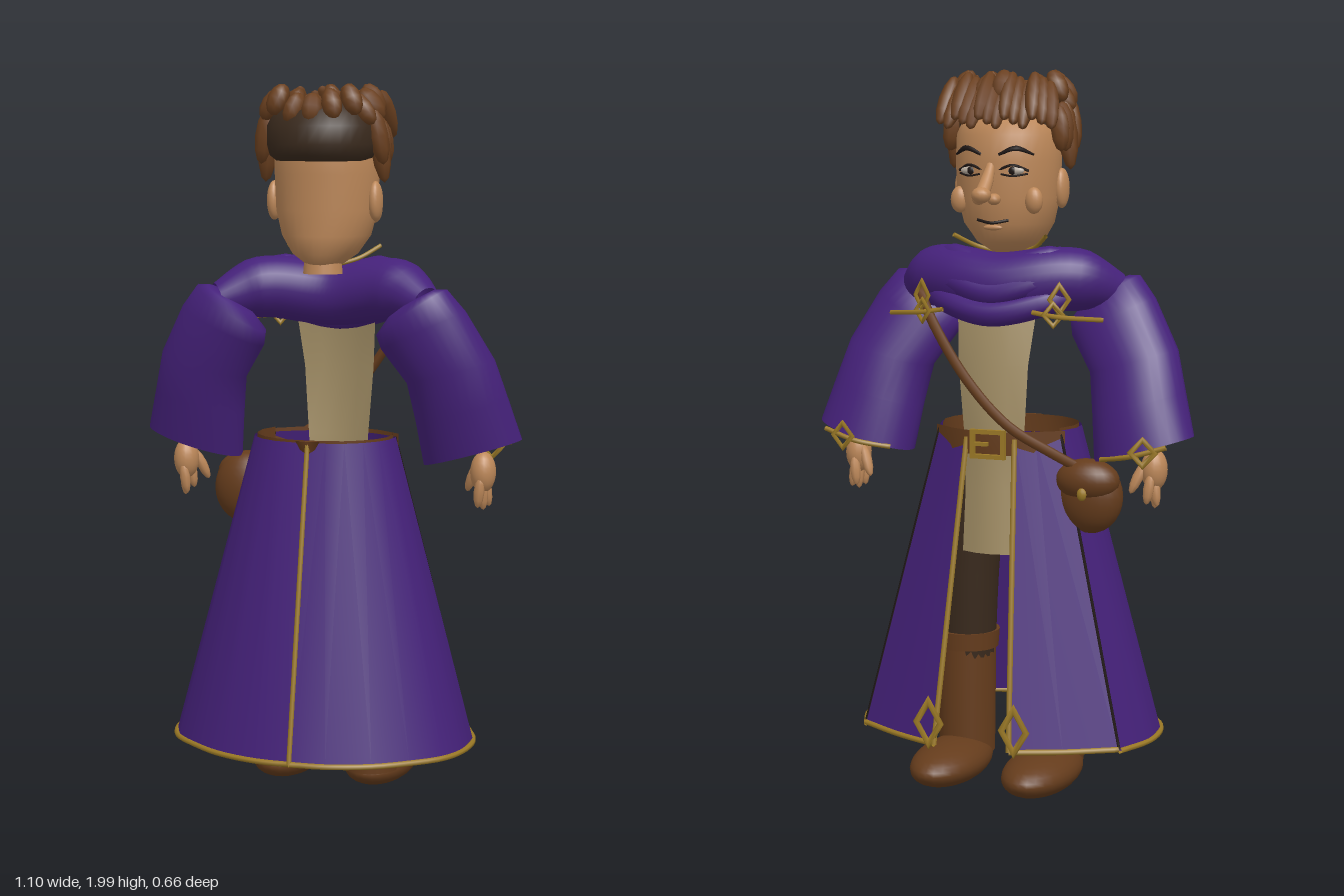
import * as THREE from 'three';

const mat = (name, color, side = THREE.DoubleSide) => {
  const m = new THREE.MeshStandardMaterial({ color, side });
  m.name = name;
  return m;
};
const V = (p) => new THREE.Vector3(...p);

export function createModel() {
  const root = new THREE.Group();
  root.name = 'robedFigure';
  const purple = mat('purpleCloth', 0x45217a);
  const gold = mat('goldTrim', 0x9c7a26);
  const skin = mat('skin', 0xbd8859);
  const leather = mat('brownLeather', 0x653c1c);
  const hairBrown = mat('brownHair', 0x6b401f);
  const dark = mat('darkBrown', 0x3a2a1d);
  const tan = mat('tanLinen', 0xa38f66);
  const white = mat('eyeWhite', 0xb8ada0);
  const black = mat('darkLine', 0x1f1715);

  const add = (name, geo, m) => {
    const mesh = new THREE.Mesh(geo, m);
    mesh.name = name;
    root.add(mesh);
    return mesh;
  };
  const ball = (name, c, r, m, n = 20) => {
    const mesh = add(name, new THREE.SphereGeometry(1, n, Math.max(6, n * 0.6 | 0)), m);
    mesh.position.set(...c);
    mesh.scale.set(...r);
    return mesh;
  };
  // pointed ellipsoid stretched between two points
  const lock = (name, a, b, r, m) => {
    const A = V(a), B = V(b), d = B.clone().sub(A);
    const mesh = ball(name, A.clone().add(B).multiplyScalar(0.5).toArray(), [r, d.length() / 2, r], m, 8);
    mesh.quaternion.setFromUnitVectors(new THREE.Vector3(0, 1, 0), d.normalize());
  };
  // tube whose radius follows a list of values along the path
  const tube = (name, pts, radii, m, n = 20, steps = 28) => {
    const curve = new THREE.CatmullRomCurve3(pts.map(V));
    const f = curve.computeFrenetFrames(steps);
    const pos = [], idx = [];
    for (let i = 0; i <= steps; i++) {
      const t = i / steps, u = t * (radii.length - 1), k = Math.min(Math.floor(u), radii.length - 2);
      const r = THREE.MathUtils.lerp(radii[k], radii[k + 1], u - k);
      const c = curve.getPointAt(t);
      for (let j = 0; j < n; j++) {
        const a = j / n * Math.PI * 2;
        const p = c.clone().addScaledVector(f.normals[i], r * Math.cos(a)).addScaledVector(f.binormals[i], r * Math.sin(a));
        pos.push(p.x, p.y, p.z);
        if (i < steps) {
          const a0 = i * n + j, a1 = i * n + (j + 1) % n;
          idx.push(a0, a1, a0 + n, a1, a1 + n, a0 + n);
        }
      }
    }
    const g = new THREE.BufferGeometry();
    g.setAttribute('position', new THREE.Float32BufferAttribute(pos, 3));
    g.setIndex(idx);
    g.computeVertexNormals();
    add(name, g, m);
  };
  const cord = (name, pts, r, m) => tube(name, pts, [r, r], m, 6, 24);
  // sheet through rows of points
  const sheet = (name, rows, m) => {
    const n = rows[0].length, idx = [];
    for (let i = 0; i < rows.length - 1; i++) for (let j = 0; j < n - 1; j++) {
      const a = i * n + j;
      idx.push(a, a + n, a + 1, a + 1, a + n, a + n + 1);
    }
    const g = new THREE.BufferGeometry();
    g.setAttribute('position', new THREE.Float32BufferAttribute(rows.flat(2), 3));
    g.setIndex(idx);
    g.computeVertexNormals();
    add(name, g, m);
  };
  // stacked ellipses: centre x, y, z, half width, half depth, rise of the outer side
  const stack = (name, rings, m, s = 1) => sheet(name, rings.map(([x, y, z, w, d, rise = 0]) =>
    Array.from({ length: 33 }, (_, j) => {
      const c = Math.cos(j / 16 * Math.PI);
      return [s * (x + w * c), y + rise * c, z + d * Math.sin(j / 16 * Math.PI)];
    })), m);
  const diamond = (name, c, sx, sy, ry = 0) => {
    const mesh = add(name, new THREE.TorusGeometry(1, 0.28, 6, 4), gold);
    mesh.position.set(...c);
    mesh.scale.set(sx, sy, 0.02);
    mesh.rotation.y = ry;
  };

  // skirt sections as [x, z], waist and hem, for one side
  const backTop = [[0, .155], [.05, .153], [.1, .14], [.145, .11], [.178, .07], [.195, .03], [.2, -.03], [.18, -.095]];
  const backHem = [[0, .328], [.1, .322], [.22, .282], [.31, .22], [.385, .15], [.42, .07], [.425, -.05], [.38, -.172]];
  const frontTop = [[.18, -.1], [.12, -.14], [.07, -.165]];
  const frontHem = [[.378, -.178], [.245, -.255], [.11, -.312]];
  const at = (list, y, s) => list.map(([x, z]) => [x * s, y, z]);

  for (const s of [1, -1]) {
    const side = s > 0 ? 'left' : 'right';
    // coat skirt: back and front panels with trims
    sheet(side + 'BackSkirt', [at(backTop, 1.02, s), at(backHem, .16, s)], purple);
    sheet(side + 'FrontSkirt', [at(frontTop, 1.01, s), at(frontHem, .165, s)], purple);
    cord(side + 'SideSeam', [[s * .179, 1.01, -.098], [s * .378, .165, -.175]], .005, black);
    cord(side + 'BackHemTrim', at(backHem, .16, s), .008, gold);
    cord(side + 'FrontHemTrim', at(frontHem, .165, s), .008, gold);
    cord(side + 'OpeningTrim', [[s * .07, 1, -.167], [s * .11, .165, -.314]], .008, gold);
    diamond(side + 'HemOrnament', [s * .125, .225, -.315], .036, .06);

    // wide sleeve, cuff trim and clasps
    stack(side + 'Sleeve', [[.41, .98, -.075, .138, .1, .04], [.385, 1.1, -.045, .129, .104, .035], [.36, 1.21, -.014, .122, .1, .035],
      [.29, 1.325, .02, .117, .088, .055], [.26, 1.375, .035, .098, .076, .065], [.262, 1.4, .04, .065, .05, .04], [.265, 1.41, .042, .005, .005]], purple, s);
    cord(side + 'CuffTrim', [[s * .31, .955, -.145], [s * .4, .972, -.178], [s * .5, 1, -.165]], .007, gold);
    diamond(side + 'CuffOrnament', [s * .44, .985, -.18], .033, .035, s * -.2);
    cord(side + 'ClaspBar', [[s * .13, 1.35, -.19], [s * .2, 1.34, -.19], [s * .31, 1.33, -.13]], .007, gold);
    diamond(side + 'UpperClasp', [s * .2, 1.385, -.17], .026, .038, s * -.4);
    diamond(side + 'LowerClasp', [s * .19, 1.345, -.19], .026, .03, s * -.4);

    // hand and fingers
    ball(side + 'Palm', [s * .44, .925, -.075], [.036, .058, .04], skin);
    for (let i = 0; i < 4; i++) {
      const z = -.045 - i * .02;
      lock(side + 'Finger', [s * .44, .92, z], [s * (.43 + .012 * (i % 3)), .818 + .008 * Math.abs(i - 1), z - .008], .015, skin);
    }
    lock(side + 'Thumb', [s * .42, .95, -.09], [s * .385, .862, -.115], .015, skin);

    // trouser leg, boot shaft, cuff and foot
    tube(side + 'TrouserLeg', [[s * .13, .36, -.015], [s * .115, .6, -.03], [s * .09, .88, -.04]], [.078, .08, .085], dark);
    const shaft = add(side + 'BootShaft', new THREE.CylinderGeometry(.084, .08, .33, 24), leather);
    shaft.position.set(s * .135, .235, -.012);
    const cuff = add(side + 'BootCuff', new THREE.CylinderGeometry(.094, .09, .05, 24), leather);
    cuff.position.set(s * .135, .4, -.012);
    ball(side + 'Foot', [s * .137, .066, -.122], [.1, .06, .19], leather, 28);

    // ear, cheek, eye, brow
    ball(side + 'Ear', [s * .146, 1.675, -.005], [.02, .055, .032], skin);
    ball(side + 'Cheek', [s * .108, 1.645, -.12], [.025, .036, .022], skin);
    ball(side + 'Eye', [s * .062, 1.725, -.15], [.03, .012, .011], white);
    ball(side + 'Pupil', [s * .06, 1.725, -.157], [.011, .011, .006], black, 12);
    cord(side + 'EyeLid', [[s * .025, 1.728, -.163], [s * .062, 1.74, -.161], [s * .1, 1.725, -.138]], .004, black);
    cord(side + 'LowerLid', [[s * .03, 1.716, -.163], [s * .062, 1.711, -.161], [s * .098, 1.717, -.138]], .003, black);
    tube(side + 'Brow', [[s * .025, 1.768, -.167], [s * .07, 1.785, -.16], [s * .112, 1.768, -.13]], [.004, .008, .003], black, 6, 10);
    ball(side + 'Nostril', [s * .022, 1.65, -.193], [.018, .016, .022], skin, 12);

    // collar edge
    cord(side + 'CollarTrim', [[s * .135, 1.548, -.1], [s * .085, 1.515, -.05], [s * .02, 1.495, -.02]], .006, gold);

    // side locks
    for (let i = 0; i < 4; i++) {
      const z = .035 - i * .026;
      lock(side + 'SideLock', [s * .15, 1.93 - i * .01, z], [s * (.176 - .004 * i), i === 1 ? 1.725 : 1.775, z - .015], .027, hairBrown);
    }
  }
  // back seam
  cord('backSeam', [[0, 1.02, .158], [0, .16, .331]], .007, gold);

  // tunic front, bowed across
  const tunicRow = ([y, w, z]) => [-1, -.5, 0, .5, 1].map((t) => [t * w, y, z + .025 * t * t]);
  sheet('tunic', [[1.38, .118, -.135], [1.2, .102, -.172], [1.0, .088, -.165], [.85, .082, -.172], [.68, .085, -.185]].map(tunicRow), tan);

  // belt and buckle
  const waist = [[-.19, -.095], [-.12, -.15], [-.05, -.18], [.05, -.18], [.12, -.15], [.19, -.095]];
  sheet('frontBelt', [at(waist, 1.02, 1), at(waist, .955, 1)], leather);
  const inner = backTop.map(([x, z]) => [x * .96, z * .95]);
  const loop = [...inner.slice(1).reverse().map(([x, z]) => [-x, z]), ...inner];
  sheet('backBelt', [at(loop, 1.026, 1), at(loop, .975, 1)], leather);
  const tab = add('beltTab', new THREE.ConeGeometry(.035, .06, 4), leather);
  tab.position.set(0, .995, .158);
  tab.scale.z = .25;
  tab.rotation.x = Math.PI;
  for (const [w, h, x, y] of [[.1, .012, 0, .034], [.1, .012, 0, -.034], [.012, .08, -.045, 0], [.012, .08, .045, 0], [.04, .01, .02, 0]])
    add('buckle', new THREE.BoxGeometry(w, h, .014), gold).position.set(x, .985 + y, -.187);

  // draped yoke and front folds
  tube('yoke', [[-.3, 1.395, .03], [-.19, 1.43, -.045], [0, 1.412, -.09], [.19, 1.43, -.045], [.3, 1.395, .03]], [.05, .086, .09, .09, .09, .086, .05], purple, 24, 32);
  for (const [y, z, r] of [[1.455, -.115, .036], [1.4, -.15, .038], [1.345, -.16, .036]])
    tube('yokeFold', [[-.25, 1.41, -.02], [-.16, y + .03, z + .045], [0, y - .005, z], [.16, y + .03, z + .045], [.25, 1.41, -.02]], [.015, r, r, r, .015], purple, 14);

  // satchel and strap
  ball('satchel', [-.265, .845, -.095], [.092, .103, .06], leather, 24);
  ball('satchelFlap', [-.262, .89, -.11], [.09, .06, .06], leather, 24);
  ball('satchelClasp', [-.265, .86, -.168], [.014, .018, .01], gold, 10);
  cord('satchelStrap', [[.22, 1.4, -.14], [.17, 1.32, -.175], [.06, 1.16, -.19], [-.06, 1.04, -.192], [-.17, .97, -.16], [-.25, .92, -.12]], .014, leather);

  // head and neck
  stack('head', [[0, 1.492, 0, .005, .01], [0, 1.497, -.005, .045, .065], [0, 1.53, -.014, .09, .112], [0, 1.58, -.024, .124, .127], [0, 1.65, -.028, .142, .136],
    [0, 1.75, -.028, .146, .142], [0, 1.82, -.022, .145, .142], [0, 1.87, -.015, .125, .125], [0, 1.9, -.01, .003, .003]], skin);
  const neck = add('neck', new THREE.CylinderGeometry(.052, .055, .03, 20), skin);
  neck.position.set(0, 1.49, .012);

  // nose and mouth
  tube('nose', [[0, 1.74, -.16], [0, 1.7, -.19], [0, 1.665, -.225]], [.012, .018, .02], skin, 12, 10);
  ball('noseTip', [0, 1.662, -.23], [.027, .022, .026], skin, 14);
  cord('mouth', [[-.045, 1.592, -.146], [0, 1.585, -.158], [.045, 1.592, -.146]], .004, black);
  ball('lowerLip', [0, 1.572, -.147], [.028, .008, .01], skin, 12);

  // hair: dark cap, crown tufts, fringe
  stack('hairCap', [[0, 1.785, .01, .13, .115], [0, 1.8, .012, .148, .136], [0, 1.83, .014, .155, .143], [0, 1.88, .014, .155, .141],
    [0, 1.92, .01, .135, .12], [0, 1.945, .01, .08, .075], [0, 1.95, .01, .003, .003]], dark);
  for (let i = 0; i < 16; i++) {
    const a = i / 16 * Math.PI * 2, k = .012 * (i % 3), c = Math.cos(a), s = Math.sin(a);
    lock('crownTuft', [s * (.1 + k), 1.968 + k, .025 + c * .075], [s * .172, 1.885 + k, .015 + c * .118], .029, hairBrown);
  }
  for (let i = 0; i < 14; i++) {
    const x = (i - 6.5) * .025, k = .012 * (i % 3);
    lock('fringeLock', [x * .85 + .012, 1.965 + k, -.045], [x, 1.835 + k, -.165 + 1.2 * x * x], .024, hairBrown);
  }
  return root;
}
